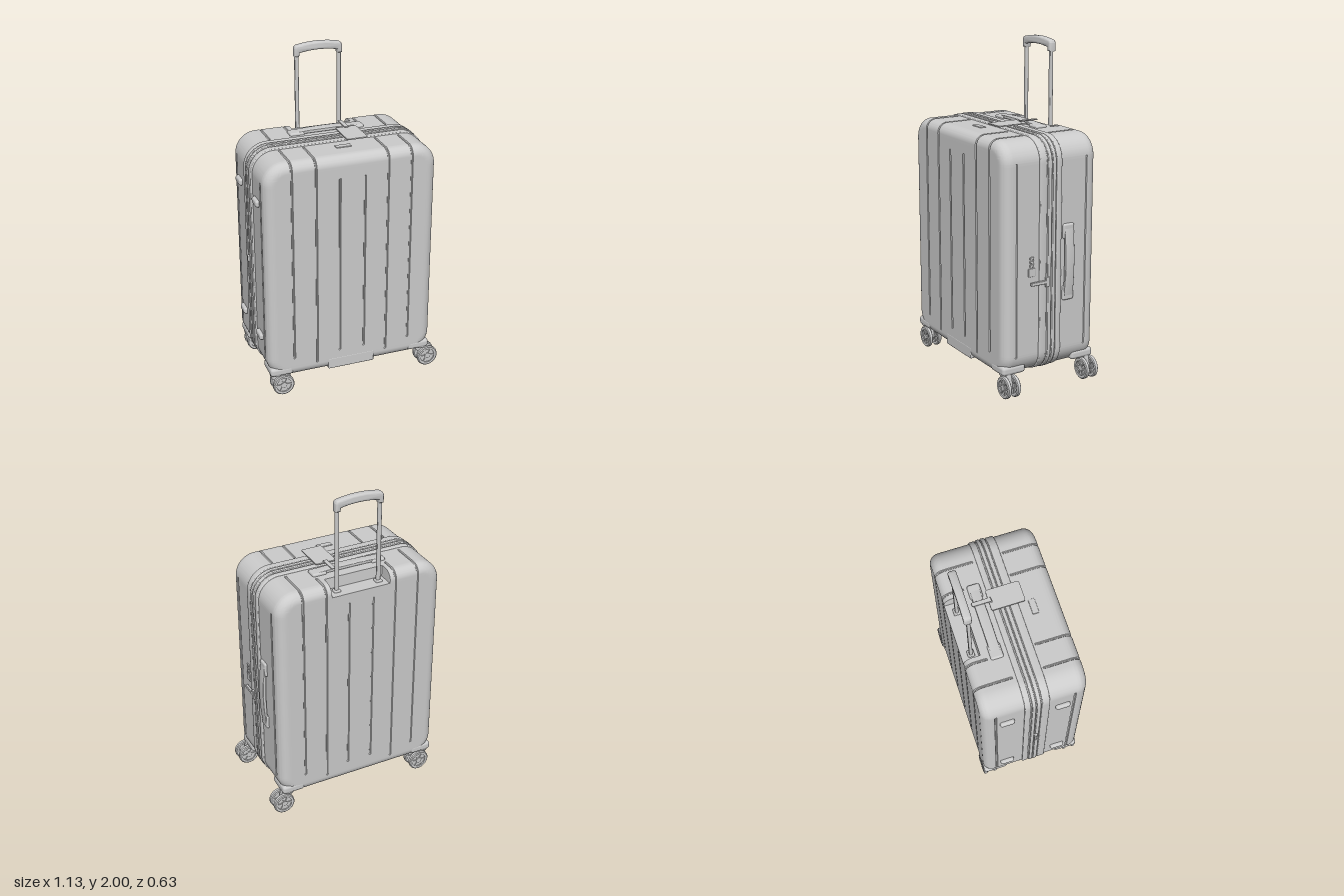
import * as THREE from 'three';
import { mergeVertices, toCreasedNormals } from 'three/addons/utils/BufferGeometryUtils.js';
import { RoundedBoxGeometry } from 'three/addons/geometries/RoundedBoxGeometry.js';

const grey = new THREE.MeshStandardMaterial({ color: 0xcccccc });
const CX = -0.015, CY = 0.803;          // centre of the case
const HX = 0.525, HY = 0.69, R = 0.13;  // half width, half height, outline corner radius
const DEPTH = 0.314, FILLET = 0.06;     // half depth and edge rounding

function add(parent, name, geometry, x = 0, y = 0, z = 0) {
  const mesh = new THREE.Mesh(geometry, grey);
  mesh.name = name;
  mesh.position.set(x, y, z);
  parent.add(mesh);
  return mesh;
}

const box = (w, h, d, r = 0.006) => new RoundedBoxGeometry(w, h, d, 2, Math.min(r, w / 2.1, h / 2.1, d / 2.1));

function roundedRect(hx, hy, r) {
  const s = new THREE.Shape();
  s.absarc(hx - r, hy - r, r, 0, Math.PI / 2);
  s.absarc(-hx + r, hy - r, r, Math.PI / 2, Math.PI);
  s.absarc(-hx + r, -hy + r, r, Math.PI, Math.PI * 1.5);
  s.absarc(hx - r, -hy + r, r, Math.PI * 1.5, Math.PI * 2);
  s.closePath();
  return s;
}

// Extruded shape centred on z with a rounded rim of the given bevel
function slab(shape, depth, bevel) {
  const g = new THREE.ExtrudeGeometry(shape, {
    depth: depth - 2 * bevel, bevelEnabled: bevel > 0, bevelSize: bevel, bevelOffset: -bevel,
    bevelThickness: bevel, bevelSegments: 3, curveSegments: 12,
  });
  g.translate(0, 0, bevel - depth / 2);
  return toCreasedNormals(g, 0.6);
}

// Half shell: a box grid with chosen grid lines, rounded by rule and pressed in at the grooves
const grooves = [
  { x: 0.365, low: -0.565, wraps: true }, { x: 0.22, low: -0.615, wraps: true },
  { x: 0.077, low: -0.565, wraps: false },
];
function shell(inner, wrapEnds, well) {
  const corner = h => Array.from({ length: 14 }, (_, i) => h - R + (R * i) / 13);
  const both = list => [...new Set(list.flatMap(v => [v, -v]).map(v => +v.toFixed(5)))].sort((a, b) => a - b);
  const edges = c => [c - 0.0065, c - 0.003, c + 0.003, c + 0.0065];
  const xs = both([...corner(HX), ...grooves.flatMap(g => edges(g.x)), 0.183, 0.186]);
  const ys = both([...corner(HY), 0.555, 0.566, 0.575, 0.615, 0.621]);
  const zs = [inner, ...wrapEnds.flatMap(w => [w - 0.006, w]), 0.214, 0.217, ...edges(0.235)];
  for (let i = 0; i <= 8; i++) zs.push(DEPTH - FILLET + (FILLET * i) / 8);
  zs.sort((a, b) => a - b);

  let geo = new THREE.BoxGeometry(1, 1, 1, xs.length - 1, ys.length - 1, zs.length - 1);
  const pos = geo.attributes.position;
  const pick = (list, t) => list[Math.round((t + 0.5) * (list.length - 1))];
  const n = new THREE.Vector3(), p = new THREE.Vector3();
  for (let i = 0; i < pos.count; i++) {
    const X = pick(xs, pos.getX(i)), Y = pick(ys, pos.getY(i)), Z = pick(zs, pos.getZ(i));
    // rounded outline, then the rounded outer edge
    const cx = THREE.MathUtils.clamp(X, R - HX, HX - R), cy = THREE.MathUtils.clamp(Y, R - HY, HY - R);
    const vx = X - cx, vy = Y - cy, len = Math.hypot(vx, vy) || 1;
    const s = Math.max(Math.abs(vx), Math.abs(vy));
    let e1 = Math.max(0, s - (R - FILLET)), e2 = Math.max(0, Z - (DEPTH - FILLET));
    const k = FILLET / (Math.hypot(e1, e2) || FILLET);
    e1 *= k; e2 *= k;
    const rho = Math.min(s, R - FILLET) + e1;
    p.set(cx + (vx / len) * rho, cy + (vy / len) * rho, Math.min(Z, DEPTH - FILLET) + e2);
    n.set((vx / len) * e1, (vy / len) * e1, e2).normalize();
    // pressed grooves on the face, over the top and down the sides
    const onFace = grooves.some((g, j) => Math.abs(Math.abs(X) - g.x) < 0.004 && Y >= g.low - 1e-4 &&
      (g.wraps ? Z >= wrapEnds[j] - 1e-4 : Y <= 0.556));
    const onSide = Math.abs(Z - 0.235) < 0.004 && Math.abs(Y) < 0.567 && Math.abs(X) > HX - 1e-4;
    if (onFace || onSide) p.addScaledVector(n, -0.006);
    // sunken well for the pull handle
    if (well && Math.abs(X) < 0.184 && Z > 0.2165) p.y = Math.min(p.y, 0.622);
    pos.setXYZ(i, p.x, p.y, p.z);
  }
  geo.deleteAttribute('uv');
  geo.deleteAttribute('normal');
  geo = mergeVertices(geo, 1e-5);
  return toCreasedNormals(geo, 0.55);
}

// Carry handle along x, bowed up in y: two end mounts and a strap
function carryHandle(name, length, width, rise) {
  const g = new THREE.Group();
  g.name = name;
  const h = length / 2, s = new THREE.Shape();
  s.moveTo(-h + 0.015, 0.002);
  s.lineTo(-h + 0.015, 0.014);
  s.quadraticCurveTo(0, rise * 2 - 0.014, h - 0.015, 0.014);
  s.lineTo(h - 0.015, 0.002);
  s.quadraticCurveTo(0, rise * 2 - 0.04, -h + 0.015, 0.002);
  add(g, 'handleStrap', slab(s, width * 0.8, 0.003));
  for (const e of [-1, 1]) add(g, 'handleMount', box(0.09, 0.026, width, 0.012), e * (h - 0.045), 0.003, 0);
  return g;
}

// Twin-wheel caster; the wheels trail towards +x
function caster() {
  const g = new THREE.Group();
  const tyre = [[0.046, -0.012], [0.06, -0.013], [0.066, -0.008], [0.067, 0], [0.066, 0.008], [0.06, 0.013], [0.046, 0.012], [0.046, -0.012]]
    .map(([r, y]) => new THREE.Vector2(r, y));
  const tyreGeo = toCreasedNormals(new THREE.LatheGeometry(tyre, 32), 0.7);
  for (const z of [-0.031, 0.031]) {
    const wheel = new THREE.Group();
    wheel.name = 'wheel';
    wheel.position.set(0.0375, 0.067, z);
    add(wheel, 'tyre', tyreGeo).rotation.x = Math.PI / 2;
    add(wheel, 'hub', new THREE.CylinderGeometry(0.018, 0.018, 0.024, 20)).rotation.x = Math.PI / 2;
    add(wheel, 'wheelDisc', new THREE.CylinderGeometry(0.047, 0.047, 0.008, 28)).rotation.x = Math.PI / 2;
    for (let i = 0; i < 6; i++) {
      const a = (i * Math.PI) / 3;
      add(wheel, 'spoke', new THREE.BoxGeometry(0.034, 0.009, 0.02), Math.cos(a) * 0.031, Math.sin(a) * 0.031).rotation.z = a;
    }
    g.add(wheel);
  }
  add(g, 'axle', new THREE.CylinderGeometry(0.009, 0.009, 0.08, 14), 0.0375, 0.067).rotation.x = Math.PI / 2;
  const fork = new THREE.Shape([[-0.035, 0.145], [-0.035, 0.115], [0.022, 0.055], [0.052, 0.055], [0.052, 0.085], [0.035, 0.145]]
    .map(([x, y]) => new THREE.Vector2(x, y)));
  add(g, 'fork', slab(fork, 0.034, 0.004));
  add(g, 'swivel', new THREE.CylinderGeometry(0.042, 0.038, 0.022, 24), 0, 0.142);
  return g;
}

export function createModel() {
  const model = new THREE.Group();
  model.name = 'suitcase';

  // shells
  add(model, 'frontShell', shell(0.06, [0.1, 0.1], false), CX, CY, 0);
  add(model, 'backShell', shell(0.045, [0.09, 0.19], true), CX, CY, 0).rotation.y = Math.PI;

  // middle gusset and the bands and zips around it
  add(model, 'gusset', slab(roundedRect(HX + 0.003, HY, R), 0.14, 0), CX, CY, 0.01);
  const bands = [[-0.065, -0.03, 0.01], [-0.023, 0, 0.014], [0.005, 0.03, 0.014], [0.036, 0.083, 0.01]];
  for (const [a, b, out] of bands)
    add(model, 'band', slab(roundedRect(HX + out, HY + out * 0.6, R + out), b - a, 0.006), CX, CY, (a + b) / 2);

  // casters and corner guards
  for (const sx of [-1, 1]) for (const sz of [-1, 1]) {
    const c = caster();
    c.name = 'caster';
    c.position.set(CX + sx * 0.4725, 0, sz * 0.273);
    model.add(c);
    add(model, 'cornerGuard', box(0.145, 0.056, 0.155, 0.02), CX + sx * 0.443, 0.16, sz * 0.238);
  }
  add(model, 'bottomGrip', box(0.295, 0.07, 0.06, 0.006), -0.0175, 0.152, 0.285);

  // pull handle
  const pull = new THREE.Group();
  pull.name = 'pullHandle';
  for (const x of [-0.152, 0.113]) {
    add(pull, 'post', box(0.024, 0.54, 0.02, 0.006), x, 1.68, -0.256);
    add(pull, 'postCollar', box(0.042, 0.016, 0.04), x, 1.428, -0.256);
  }
  const grip = new THREE.Shape();
  grip.moveTo(-0.167, 1.92);
  grip.lineTo(-0.167, 1.965);
  grip.quadraticCurveTo(-0.166, 1.985, -0.145, 1.988);
  grip.quadraticCurveTo(-0.02, 2.012, 0.105, 1.988);
  grip.quadraticCurveTo(0.128, 1.985, 0.129, 1.965);
  grip.lineTo(0.129, 1.92);
  grip.lineTo(0.1, 1.92);
  grip.lineTo(0.096, 1.942);
  grip.quadraticCurveTo(-0.02, 1.964, -0.134, 1.942);
  grip.lineTo(-0.138, 1.92);
  add(pull, 'grip', slab(grip, 0.046, 0.011), 0, 0, -0.258);
  model.add(pull);

  // carry handles on the top and the left side
  const top = carryHandle('topHandle', 0.465, 0.075, 0.022);
  top.position.set(-0.018, 1.493, -0.128);
  const side = carryHandle('sideHandle', 0.46, 0.075, 0.03);
  side.position.set(0.508, 0.76, -0.115);
  side.rotation.z = -Math.PI / 2;
  model.add(top, side);

  // side feet for resting the case flat
  for (const y of [0.36, 1.23]) for (const z of [-0.168, 0.165])
    add(model, 'sideFoot', box(0.035, 0.042, 0.088, 0.014), -0.544, y, z);

  // luggage tag and its strap, badge plate
  const tagShape = roundedRect(0.064, 0.1, 0.01);
  const slot = new THREE.Path();
  slot.absellipse(0, 0.086, 0.017, 0.005, 0, Math.PI * 2, true);
  tagShape.holes.push(slot);
  add(model, 'tag', slab(tagShape, 0.007, 0), 0.087, 1.514, 0.026).rotation.x = -Math.PI / 2;
  add(model, 'tagStrap', box(0.026, 0.006, 0.115, 0.002), 0.088, 1.521, -0.115);
  add(model, 'badgePlate', box(0.092, 0.008, 0.038, 0.003), -0.016, 1.494, 0.16);

  // lock and zip pulls
  add(model, 'lockPlate', box(0.012, 0.05, 0.046, 0.004), 0.51, 0.735, 0.132);
  for (let i = 0; i < 3; i++) add(model, 'lockDial', box(0.012, 0.016, 0.028, 0.004), 0.511, 0.775 + i * 0.022, 0.132);
  add(model, 'lockBar', box(0.016, 0.02, 0.12, 0.004), 0.525, 0.668, 0.085);
  add(model, 'zipSlider', box(0.02, 0.06, 0.026, 0.004), 0.523, 0.668, 0.035);
  add(model, 'zipSlider', box(0.016, 0.04, 0.024), -0.556, 0.8, 0.01);
  add(model, 'zipPull', box(0.006, 0.1, 0.014, 0.002), -0.558, 0.745, 0.01);
  return model;
}
